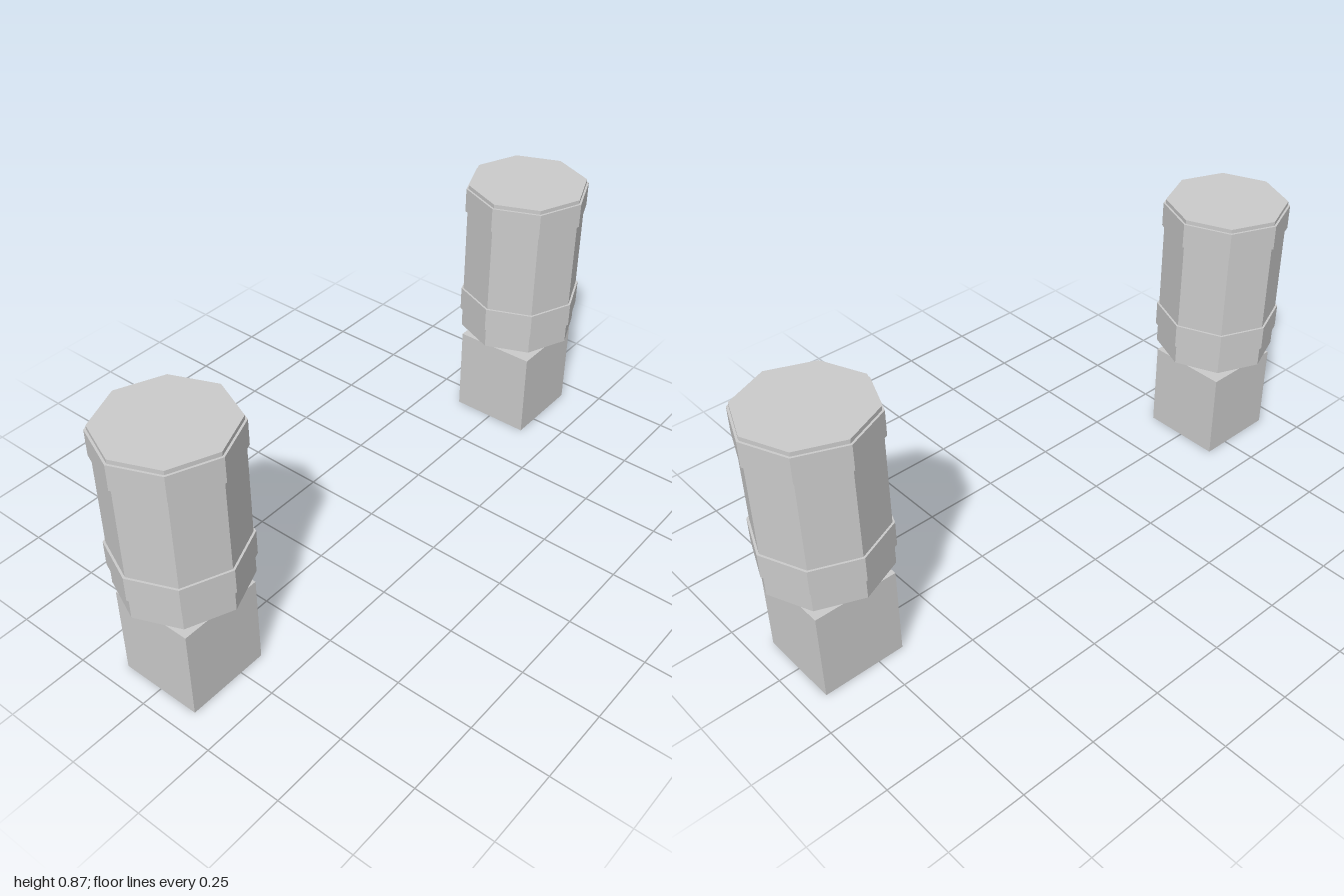
import * as THREE from 'three';

const material = new THREE.MeshStandardMaterial({ color: 0xcccccc, flatShading: true });

function addPart(parent, name, geometry, y) {
  const mesh = new THREE.Mesh(geometry, material);
  mesh.name = name;
  mesh.position.y = y;
  parent.add(mesh);
}

// Upright eight-sided prism with a corner facing the front
const octagon = (radius, height) => new THREE.CylinderGeometry(radius, radius, height, 8);

function createPost(name, x) {
  const post = new THREE.Group();
  post.name = name;
  post.position.x = x;

  // Square block standing on the ground
  addPart(post, 'baseBlock', new THREE.BoxGeometry(0.266, 0.295, 0.266), 0.1475);

  // Octagonal barrel floating just above the block
  addPart(post, 'barrel', octagon(0.193, 0.533), 0.6015);

  // Raised bands around the barrel
  addPart(post, 'lowerBand', octagon(0.2, 0.08), 0.442);
  addPart(post, 'upperBand', octagon(0.2, 0.08), 0.815);
  return post;
}

export function createModel() {
  const model = new THREE.Group();
  model.name = 'pairOfPosts';
  model.add(createPost('leftPost', 0.8), createPost('rightPost', -0.8));
  return model;
}
